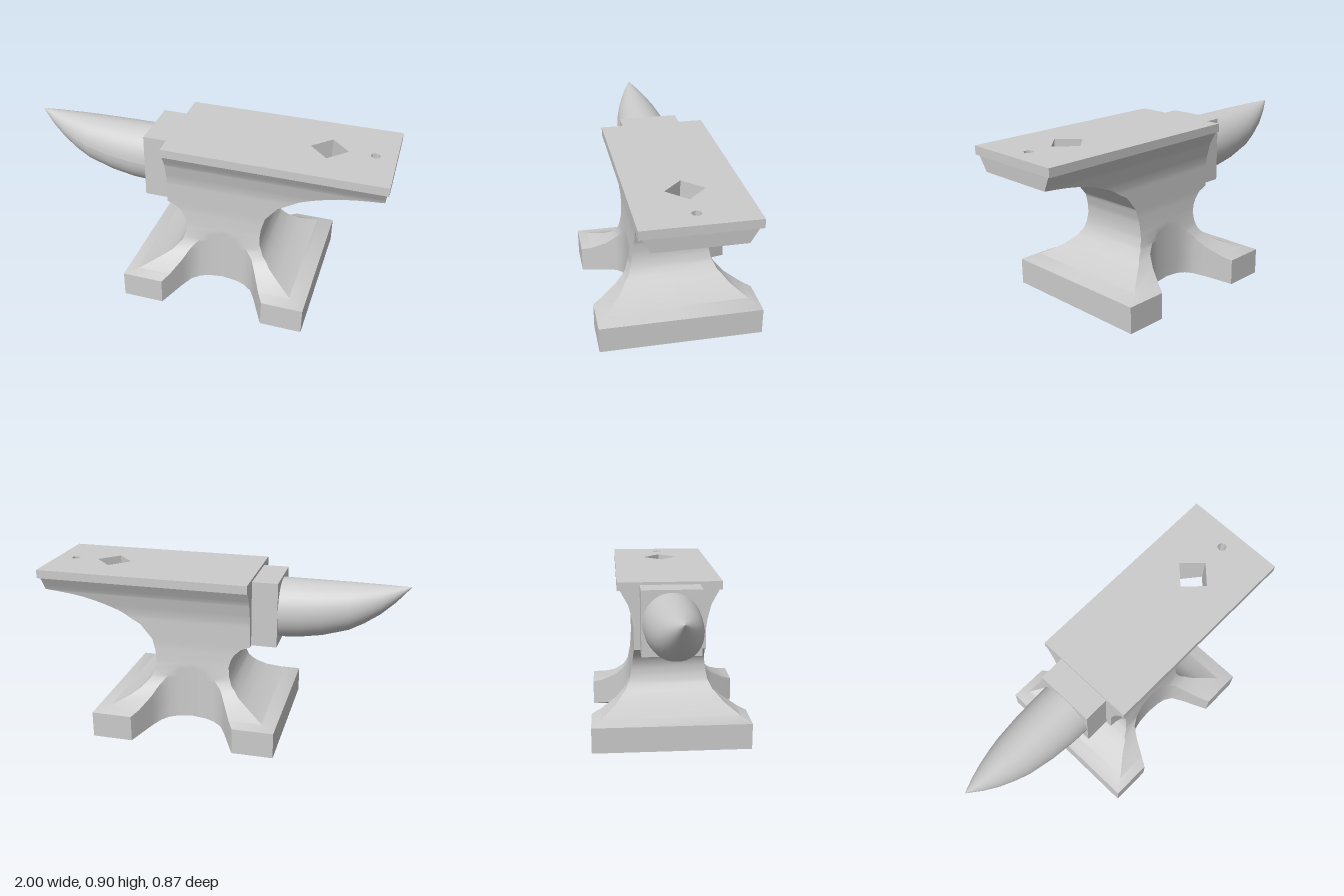
import * as THREE from 'three';
import { toCreasedNormals } from 'three/addons/utils/BufferGeometryUtils.js';

const material = new THREE.MeshStandardMaterial({ color: 0xcccccc });

// Piecewise linear lookup: find v in column `from`, return column `to`
function lookup(table, v, from = 0, to = 1) {
  if (v <= table[0][from]) return table[0][to];
  for (let i = 1; i < table.length; i++) {
    const a = table[i - 1], b = table[i];
    if (v <= b[from]) return a[to] + (b[to] - a[to]) * (v - a[from]) / (b[from] - a[from]);
  }
  return table[table.length - 1][to];
}

// Body outline as [height, value]
const LEFT = [[0, -0.363], [0.145, -0.363], [0.17, -0.28], [0.215, -0.185], [0.25, -0.13], [0.3, -0.085],
  [0.35, -0.068], [0.4, -0.065], [0.44, -0.077], [0.47, -0.095], [0.503, -0.13], [0.523, -0.18], [0.852, -0.18]];
const RIGHT = [[0, 0.657], [0.145, 0.657], [0.17, 0.57], [0.215, 0.475], [0.25, 0.425], [0.3, 0.378],
  [0.35, 0.358], [0.4, 0.353], [0.45, 0.357], [0.52, 0.376], [0.6, 0.44], [0.635, 0.5], [0.67, 0.555],
  [0.71, 0.655], [0.74, 0.755], [0.752, 0.82], [0.759, 0.865], [0.76, 0.8723], [0.762, 0.89],
  [0.764, 0.9077], [0.765, 0.915], [0.772, 0.983], [0.852, 0.99]];
const HALF_DEPTH = [[0, 0.437], [0.145, 0.437], [0.165, 0.385], [0.215, 0.3], [0.27, 0.245], [0.32, 0.22],
  [0.373, 0.21], [0.4, 0.205], [0.5, 0.197], [0.65, 0.198], [0.69, 0.204], [0.772, 0.225], [0.8, 0.24],
  [0.852, 0.268]];
// Notch between the feet, as [distance from its middle, half depth left]
const NOTCH = [[0, 0.205], [0.08, 0.21], [0.13, 0.22], [0.175, 0.245], [0.21, 0.3], [0.255, 0.385], [0.285, 0.437]];
const NOTCH_TOP = 0.4, MID = 0.147, TOP = 0.852;
const SQUARE_HOLE = { x: 0.655, r: 0.1 }, ROUND_HOLE = { x: 0.89, r: 0.025 };

// Half width in z of the heel holes at a given point of the heel's underside
function holeWidth([x, y]) {
  if (y < 0.6) return 0;
  const square = SQUARE_HOLE.r - Math.abs(x - SQUARE_HOLE.x);
  const round = Math.sqrt(Math.max(0, ROUND_HOLE.r ** 2 - (x - ROUND_HOLE.x) ** 2));
  return Math.max(0, square, round);
}

function bodyGeometry() {
  const pos = [];
  const tri = (...corners) => {
    const [a, b, c] = corners.map(p => new THREE.Vector3(...p));
    if (new THREE.Triangle(a, b, c).getArea() > 1e-8) pos.push(...corners.flat());
  };
  const quad = (a, b, c, d) => { tri(a, b, c); tri(a, c, d); };
  const flip = ([x, y, z]) => [x, y, -z];
  const both = (a, b, c, d) => { quad(a, b, c, d); quad(flip(b), flip(a), flip(d), flip(c)); };

  // One row of front points per height; notch columns stop at the notch edge
  const heights = [...new Set([...LEFT, ...RIGHT, ...HALF_DEPTH].map(p => p[0]))].sort((a, b) => a - b);
  const offsets = [...NOTCH.slice(1).reverse().map(p => -p[0]), ...NOTCH.map(p => p[0])];
  const rows = heights.map(y => {
    const w = lookup(HALF_DEPTH, y);
    const edge = y < NOTCH_TOP ? lookup(NOTCH, w, 1, 0) : 0;
    const notch = offsets.map(o => {
      const d = Math.min(Math.abs(o), edge);
      const arch = y === 0 ? 0.072 * (1 - (d / 0.285) ** 2) : y;
      return [MID + Math.sign(o) * d, arch, edge > 0 ? lookup(NOTCH, d) : w];
    });
    return [[lookup(LEFT, y), y, w], ...notch, [lookup(RIGHT, y), y, w]];
  });

  const last = rows[0].length - 1;
  for (let i = 0; i < rows.length - 1; i++) {
    const lo = rows[i], hi = rows[i + 1];
    // front and back
    for (let j = 0; j < last; j++) both(lo[j], lo[j + 1], hi[j + 1], hi[j]);
    // horn side
    quad(flip(lo[0]), lo[0], hi[0], flip(hi[0]));
    // heel side, split around the holes
    const a = lo[last], b = hi[last];
    const ha = holeWidth(a), hb = holeWidth(b);
    const pa = [a[0], a[1], ha], pb = [b[0], b[1], hb];
    both(a, pa, pb, b);
    // hole walls up to the face plate
    if (ha > 1e-6 || hb > 1e-6) both(pb, pa, [a[0], TOP, ha], [b[0], TOP, hb]);
  }
  // arched underside
  const base = rows[0];
  for (let j = 0; j < last; j++) quad(flip(base[j]), flip(base[j + 1]), base[j + 1], base[j]);

  const geo = new THREE.BufferGeometry();
  geo.setAttribute('position', new THREE.Float32BufferAttribute(pos, 3));
  return toCreasedNormals(geo, 0.6);
}

function plateGeometry() {
  const path = (Type, points) => new Type(points.map(p => new THREE.Vector2(...p)));
  const shape = path(THREE.Shape, [[-0.18, -0.285], [1, -0.285], [1, 0.285], [-0.18, 0.285]]);
  const { x, r } = SQUARE_HOLE;
  shape.holes.push(path(THREE.Path, [[x - r, 0], [x, r], [x + r, 0], [x, -r]]));
  shape.holes.push(new THREE.Path().absarc(ROUND_HOLE.x, 0, ROUND_HOLE.r, 0, Math.PI * 2, true));
  return new THREE.ExtrudeGeometry(shape, { depth: 0.898 - TOP, bevelEnabled: false, curveSegments: 4 })
    .rotateX(-Math.PI / 2).translate(0, TOP, 0);
}

// Round horn, with every ring shifted so that its top line stays level
function hornGeometry() {
  const profile = [[0.165, 0.32], [0.162, 0.42], [0.151, 0.55], [0.13, 0.69], [0.108, 0.77], [0.08, 0.85],
    [0.045, 0.925], [0.001, 1]];
  const geo = new THREE.LatheGeometry(profile.map(p => new THREE.Vector2(...p)), 40).rotateZ(Math.PI / 2);
  const p = geo.attributes.position;
  for (let i = 0; i < p.count; i++) {
    // profile radii fall along the horn, so search by distance
    const r = lookup(profile, -p.getX(i), 1, 0);
    p.setY(i, p.getY(i) + 0.868 - r);
    p.setZ(i, p.getZ(i) * 0.95);
  }
  geo.computeVertexNormals();
  return geo;
}

export function createModel() {
  const model = new THREE.Group();
  model.name = 'anvil';
  const add = (name, geometry) => {
    const mesh = new THREE.Mesh(geometry, material);
    mesh.name = name;
    model.add(mesh);
  };
  add('body', bodyGeometry());
  add('facePlate', plateGeometry());
  add('hornBlock', new THREE.BoxGeometry(0.14, 0.36, 0.325).translate(-0.25, 0.703, 0));
  add('horn', hornGeometry());
  return model;
}
